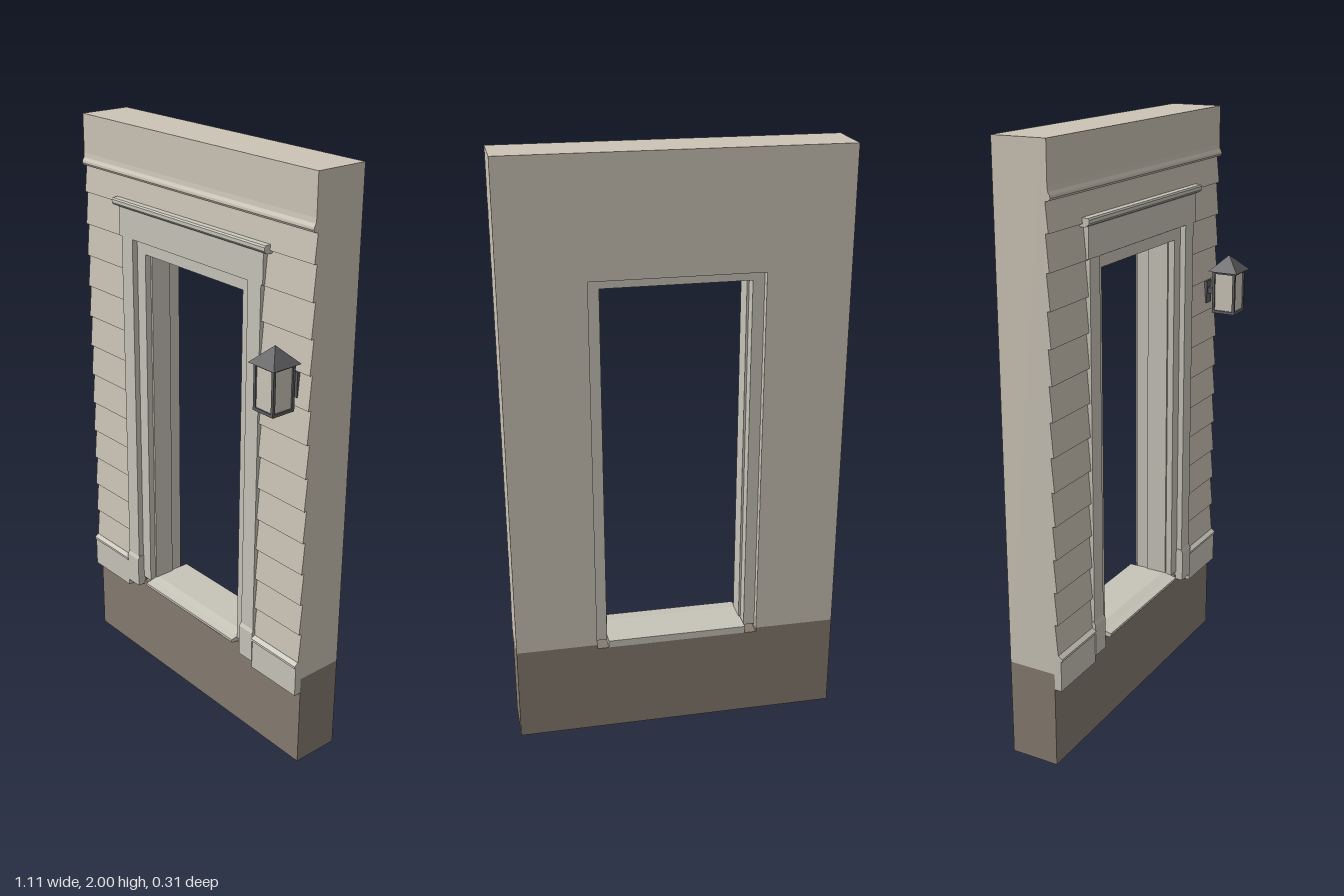
import * as THREE from 'three';

const siding = new THREE.MeshStandardMaterial({ color: 0xcbc4b6 });
siding.name = 'sidingCream';
const trim = new THREE.MeshStandardMaterial({ color: 0xc7c4b8 });
trim.name = 'trimCream';
const stone = new THREE.MeshStandardMaterial({ color: 0x857b70 });
stone.name = 'foundationBrown';
const metal = new THREE.MeshStandardMaterial({ color: 0x5c5c5f });
metal.name = 'lanternMetal';
const glass = new THREE.MeshStandardMaterial({ color: 0xcbc5b9 });
glass.name = 'lanternGlass';

const HALF = 0.555, BACK = -0.157, FRONT = 0.01;

function add(parent, name, geometry, material) {
  const mesh = new THREE.Mesh(geometry, material);
  mesh.name = name;
  parent.add(mesh);
  return mesh;
}

// Box given by its limits on each axis
function box(parent, name, material, [x0, x1], [y0, y1], [z0, z1]) {
  const g = new THREE.BoxGeometry(x1 - x0, y1 - y0, z1 - z0);
  g.translate((x0 + x1) / 2, (y0 + y1) / 2, (z0 + z1) / 2);
  return add(parent, name, g, material);
}

const toShape = pts => new THREE.Shape(pts.map(([a, b]) => new THREE.Vector2(a, b)));

// Moulding: a (z, y) profile run along x
function moulding(parent, name, material, profile, x0, x1) {
  const g = new THREE.ExtrudeGeometry(toShape(profile), { depth: x1 - x0, bevelEnabled: false });
  g.rotateY(-Math.PI / 2).translate(x1, 0, 0);
  return add(parent, name, g, material);
}

// Slab: an (x, y) outline given thickness in z
function slab(parent, name, material, outline, z0, z1) {
  const g = new THREE.ExtrudeGeometry(toShape(outline), { depth: z1 - z0, bevelEnabled: false });
  g.translate(0, 0, z0);
  return add(parent, name, g, material);
}

// Saw-tooth section of overlapping boards
function clapboards(first, last, top) {
  const pts = [[FRONT - 0.002, 0.4 + first * 0.1115]];
  for (let i = first; i < last; i++) {
    const y = 0.4 + i * 0.1115;
    pts.push([0.026, y], [0.016, Math.min(y + 0.1115, top)]);
  }
  pts.push([FRONT - 0.002, top]);
  return pts;
}

function createLantern() {
  const lantern = new THREE.Group();
  lantern.name = 'lantern';
  const r = 0.043, p = 0.009;
  box(lantern, 'lanternBase', metal, [-r, r], [1.295, 1.305], [-r, r]);
  box(lantern, 'lanternTopRail', metal, [-r, r], [1.436, 1.446], [-r, r]);
  for (const sx of [-1, 1]) for (const sz of [-1, 1]) {
    const post = box(lantern, 'lanternPost', metal, [-p / 2, p / 2], [1.305, 1.436], [-p / 2, p / 2]);
    post.position.set(sx * (r - p / 2), 0, sz * (r - p / 2));
  }
  box(lantern, 'lanternGlass', glass, [-0.038, 0.038], [1.305, 1.436], [-0.038, 0.038]);
  // Pyramid roof
  const roof = new THREE.ConeGeometry(0.055 * Math.SQRT2, 0.055, 4).toNonIndexed();
  roof.computeVertexNormals();
  roof.rotateY(Math.PI / 4).translate(0, 1.4715, 0);
  add(lantern, 'lanternRoof', roof, metal);
  // Wall bracket
  box(lantern, 'bracketArm', metal, [-0.009, 0.009], [1.355, 1.375], [-0.08, -r]);
  box(lantern, 'bracketPlate', metal, [-0.018, 0.018], [1.32, 1.4], [-0.09, -0.076]);
  lantern.position.set(0.487, 0, 0.103);
  return lantern;
}

export function createModel() {
  const model = new THREE.Group();
  model.name = 'doorwayWall';

  // Foundation with a shallow notch under the doorway
  slab(model, 'foundation', stone, [
    [-HALF, 0], [HALF, 0], [HALF, 0.335], [0.28, 0.335], [0.28, 0.32],
    [-0.28, 0.32], [-0.28, 0.335], [-HALF, 0.335],
  ], BACK, FRONT);

  // Wall around the opening
  slab(model, 'wall', siding, [
    [-HALF, 0.335], [-0.28, 0.335], [-0.28, 1.615], [0.28, 1.615],
    [0.28, 0.335], [HALF, 0.335], [HALF, 2], [-HALF, 2],
  ], BACK, FRONT);

  // Siding above the door, frieze board and its ogee
  moulding(model, 'upperSiding', siding, clapboards(11, 13, 1.835), -HALF, HALF);
  moulding(model, 'frieze', siding, [
    [0.008, 1.82], [0.018, 1.822], [0.018, 1.828], [0.03, 1.83], [0.034, 1.837],
    [0.033, 1.845], [0.027, 1.855], [0.025, 1.87], [0.025, 2], [0.008, 2],
  ], -HALF, HALF);

  for (const s of [-1, 1]) {
    const span = (a, b) => (s > 0 ? [a, b] : [-b, -a]);

    // Side siding and water table
    moulding(model, 'sideSiding', siding, clapboards(0, 11, 1.6265), ...span(0.3, HALF));
    moulding(model, 'waterTable', trim, [
      [0.01, 0.28], [0.035, 0.28], [0.035, 0.386], [0.04, 0.388],
      [0.04, 0.396], [0.026, 0.406], [0.01, 0.406],
    ], ...span(0.345, HALF));

    // Door casing on a plinth block
    box(model, 'casing', trim, span(0.285, 0.343), [0.42, 1.63], [0, 0.032]);
    moulding(model, 'plinthBlock', trim, [
      [0.01, 0.305], [0.038, 0.305], [0.038, 0.415], [0.032, 0.427], [0.01, 0.427],
    ], ...span(0.282, 0.346));

    // Jamb with a door stop
    box(model, 'jamb', trim, span(0.242, 0.285), [0.336, 1.63], [-0.13, 0.012]);
    box(model, 'doorStop', trim, span(0.235, 0.243), [0.345, 1.585], [-0.085, -0.01]);
  }

  // Head jamb and stop
  box(model, 'headJamb', trim, [-0.242, 0.242], [1.584, 1.63], [-0.13, 0.012]);
  box(model, 'headStop', trim, [-0.235, 0.235], [1.577, 1.585], [-0.085, -0.01]);

  // Header board and projecting cap
  box(model, 'header', trim, [-0.353, 0.353], [1.63, 1.732], [0.005, 0.034]);
  moulding(model, 'headerCap', trim, [
    [0.01, 1.728], [0.034, 1.728], [0.042, 1.732], [0.048, 1.739],
    [0.048, 1.75], [0.044, 1.755], [0.01, 1.757],
  ], -0.372, 0.372);

  // Sloping threshold with a front nosing
  moulding(model, 'threshold', trim, [
    [BACK, 0.32], [0.03, 0.32], [0.034, 0.325], [0.034, 0.334],
    [0.01, 0.338], [-0.02, 0.345], [BACK, 0.345],
  ], -0.24, 0.24);

  model.add(createLantern());
  return model;
}
